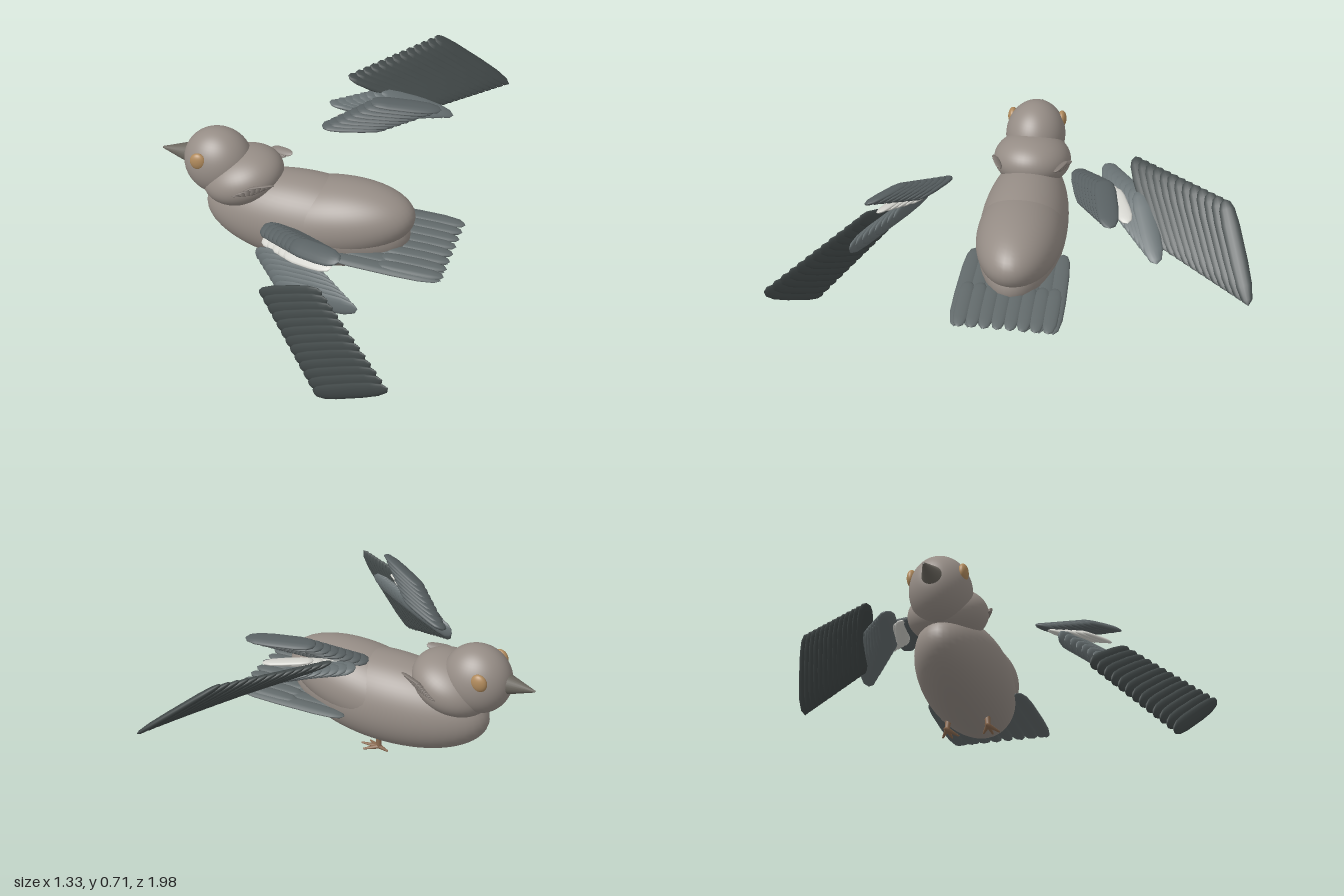
import * as THREE from 'three';

const V = (x, y, z) => new THREE.Vector3(x, y, z);
const mat = (color) => new THREE.MeshStandardMaterial({ color });
const M = {
  body: mat(0x968d86), beak: mat(0x6a665e), eye: mat(0xb08a5c), leg: mat(0x8a6a50),
  primary: mat(0x434a4a), secondary: mat(0x687173), tertial: mat(0x596163),
  white: mat(0xd4d4ce), tail: mat(0x626a6b), collar: mat(0x857d77),
};

// unit feather: grows along +y, rounded root, tapered tip
const featherGeo = new THREE.LatheGeometry([
  [0, 0], [0.55, 0.03], [0.85, 0.1], [1, 0.25], [1, 0.6], [0.88, 0.82], [0.55, 0.95], [0, 1],
].map(([r, y]) => new THREE.Vector2(r, y)), 14);
const ballGeo = new THREE.SphereGeometry(1, 48, 32);

function ellipsoid(name, material, pos, radii, tilt = 0) {
  const m = new THREE.Mesh(ballGeo, material);
  m.name = name;
  m.position.set(...pos);
  m.scale.set(...radii);
  m.rotation.z = tilt;
  return m;
}

// feather from root to tip; its flat side follows "side", turned by "twist"
function feather(name, material, root, tip, side, halfWidth, halfThick, twist = 0) {
  const dir = tip.clone().sub(root);
  const len = dir.length();
  dir.normalize();
  const x = side.clone().addScaledVector(dir, -side.dot(dir)).normalize().applyAxisAngle(dir, twist);
  const z = x.clone().cross(dir);
  const m = new THREE.Mesh(featherGeo, material);
  m.name = name;
  m.quaternion.setFromRotationMatrix(new THREE.Matrix4().makeBasis(x, dir, z));
  m.position.copy(root);
  m.scale.set(halfWidth, len, halfThick);
  return m;
}

// row of feathers blended from a first [root, tip] to a last [root, tip]
function featherRow(name, material, n, first, last, halfWidth, halfThick, twist) {
  const g = new THREE.Group();
  g.name = name;
  const [r0, t0, r1, t1] = [...first, ...last].map((p) => V(...p));
  const side = r1.clone().sub(r0);
  for (let i = 0; i < n; i++) {
    const t = i / (n - 1);
    g.add(feather(name + 'Feather', material, r0.clone().lerp(r1, t), t0.clone().lerp(t1, t),
      side, halfWidth, halfThick, twist));
  }
  return g;
}

// cylinder or cone between two points
function rod(name, material, a, b, ra, rb, sides = 10) {
  const d = b.clone().sub(a);
  const m = new THREE.Mesh(new THREE.CylinderGeometry(rb, ra, d.length(), sides), material);
  m.name = name;
  m.position.copy(a).add(b).multiplyScalar(0.5);
  m.quaternion.setFromUnitVectors(V(0, 1, 0), d.normalize());
  return m;
}

function wing(name, rows) {
  const g = new THREE.Group();
  g.name = name;
  rows.forEach((r) => g.add(featherRow(...r)));
  return g;
}

export function createModel() {
  const bird = new THREE.Group();
  bird.name = 'bird';
  const cz = -0.007;

  // trunk, neck and head
  bird.add(
    ellipsoid('belly', M.body, [0.0, 0.24, cz], [0.462, 0.208, 0.19]),
    ellipsoid('back', M.body, [0.1, 0.275, cz], [0.385, 0.17, 0.187], 0.19),
    ellipsoid('neck', M.body, [-0.295, 0.4, cz], [0.185, 0.12, 0.17], 0.35),
    ellipsoid('head', M.body, [-0.407, 0.452, cz], [0.153, 0.155, 0.132]),
    rod('beak', M.beak, V(-0.53, 0.462, cz), V(-0.667, 0.46, cz), 0.05, 0.004, 24),
  );

  for (const s of [1, -1]) {
    bird.add(ellipsoid('eye', M.eye, [-0.46, 0.505, cz + s * 0.11], [0.036, 0.04, 0.021], -0.2));

    // collar feathers fanned over the side of the neck
    const collar = new THREE.Group();
    collar.name = 'collar';
    for (let i = 0; i < 7; i++) {
      const t = i / 6;
      const root = V(-0.29 + 0.075 * t, 0.4 + 0.05 * t, cz + s * (0.168 - 0.012 * t));
      const tip = root.clone().add(V(0.105, 0.014, -s * 0.035));
      collar.add(feather('collarFeather', M.collar, root, tip, V(0, 0.5, s), 0.019, 0.006));
    }
    bird.add(collar);

    // leg and toes
    const foot = new THREE.Group();
    foot.name = 'foot';
    const ankle = V(0.015, 0.02, cz + s * 0.09);
    foot.add(rod('shank', M.leg, V(0.02, 0.07, cz + s * 0.085), ankle, 0.013, 0.011));
    for (const [dx, dy, dz] of [[0.085, -0.006, 0], [0.06, -0.01, 0.035], [0.06, -0.01, -0.035], [-0.043, -0.014, 0]]) {
      foot.add(rod('toe', M.leg, ankle, ankle.clone().add(V(dx, dy, dz)), 0.011, 0.004));
    }
    bird.add(foot);
  }

  // tail: long lower feathers and a shorter upper layer
  const tail = new THREE.Group();
  tail.name = 'tail';
  for (let i = 0; i < 8; i++) {
    const k = (i - 3.5) / 3.5;
    const z = cz + k * 0.205;
    tail.add(
      feather('tailFeather', M.tail, V(0.1 + 0.03 * k * k, 0.205, cz + k * 0.19), V(0.655, 0.205, z), V(0, 0, 1), 0.037, 0.014),
      feather('upperTailFeather', M.tail, V(0.37, 0.212, cz + k * 0.185), V(0.662, 0.212, cz + k * 0.185), V(0, 0, 1), 0.034, 0.014),
    );
  }
  bird.add(tail);

  // lowered wing on the front side
  bird.add(wing('frontWing', [
    ['primary', M.primary, 13, [[-0.03, 0.23, 0.54], [0.28, 0.42, 0.66]], [[0.3, 0.03, 0.83], [0.65, 0.3, 0.985]], 0.038, 0.015, 0.5],
    ['secondary', M.secondary, 8, [[-0.09, 0.34, 0.42], [0.23, 0.405, 0.52]], [[0.06, 0.28, 0.56], [0.43, 0.38, 0.67]], 0.045, 0.015, 0.7],
    ['underCovert', M.white, 5, [[-0.07, 0.39, 0.38], [0.15, 0.43, 0.46]], [[0.06, 0.43, 0.48], [0.29, 0.475, 0.57]], 0.035, 0.012, 0.7],
    ['tertial', M.tertial, 8, [[-0.09, 0.41, 0.335], [0.16, 0.46, 0.44]], [[0.09, 0.49, 0.49], [0.335, 0.55, 0.605]], 0.045, 0.016, 0.9],
  ]));

  // raised wing on the back side
  bird.add(wing('backWing', [
    ['primary', M.primary, 13, [[0.03, 0.68, -0.48], [0.4, 0.5, -0.62]], [[0.32, 0.71, -0.86], [0.655, 0.445, -0.985]], 0.038, 0.015, -0.4],
    ['secondary', M.secondary, 8, [[-0.02, 0.6, -0.37], [0.27, 0.54, -0.44]], [[0.17, 0.61, -0.51], [0.485, 0.48, -0.61]], 0.045, 0.015, -0.7],
    ['underCovert', M.white, 5, [[0.03, 0.57, -0.31], [0.24, 0.55, -0.37]], [[0.16, 0.6, -0.4], [0.36, 0.58, -0.48]], 0.035, 0.012, -0.7],
    ['tertial', M.tertial, 8, [[-0.015, 0.56, -0.245], [0.27, 0.57, -0.31]], [[0.17, 0.65, -0.36], [0.475, 0.635, -0.415]], 0.047, 0.016, -0.9],
  ]));

  return bird;
}
